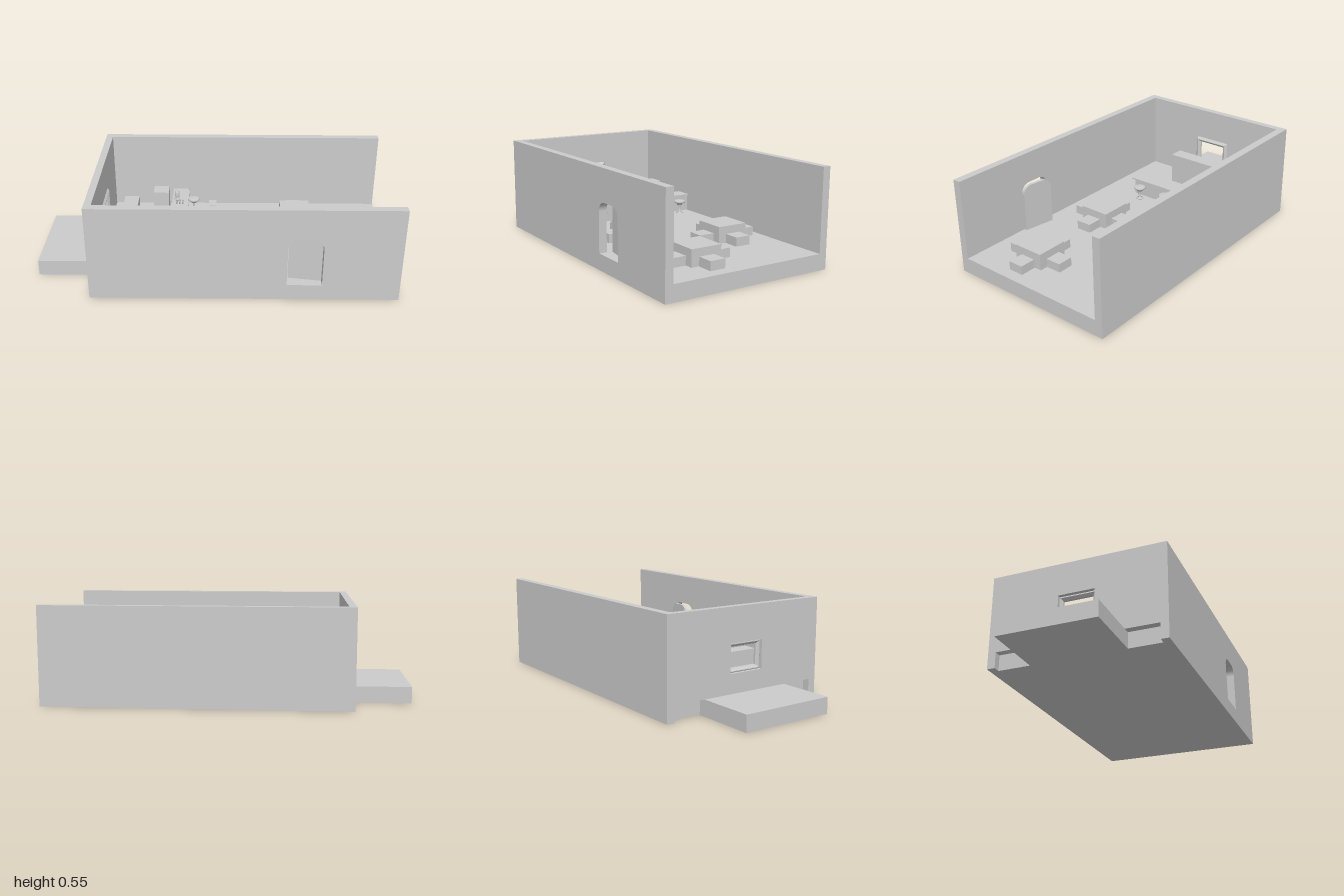
import * as THREE from 'three';

const FLOOR = 0.09, TOP = 0.545, WALL = 0.045;
const material = new THREE.MeshStandardMaterial({ color: 0xcccccc });

function add(parent, name, geometry) {
  const mesh = new THREE.Mesh(geometry, material);
  mesh.name = name;
  parent.add(mesh);
  return mesh;
}

// Box given by its limits on each axis
function box(parent, name, x0, x1, y0, y1, z0, z1) {
  const mesh = add(parent, name, new THREE.BoxGeometry(x1 - x0, y1 - y0, z1 - z0));
  mesh.position.set((x0 + x1) / 2, (y0 + y1) / 2, (z0 + z1) / 2);
  return mesh;
}

function turned(parent, name, profile, x, y, z, sides = 24) {
  const points = profile.map(([r, h]) => new THREE.Vector2(r, h));
  const mesh = add(parent, name, new THREE.LatheGeometry(points, sides));
  mesh.position.set(x, y, z);
  return mesh;
}

function rectangle(path, x0, x1, y0, y1) {
  path.moveTo(x0, y0);
  path.lineTo(x1, y0);
  path.lineTo(x1, y1);
  path.lineTo(x0, y1);
  path.closePath();
  return path;
}

// Upright doorway outline with rounded top corners
function doorway(path, x0, x1, y0, y1, r) {
  path.moveTo(x0, y0);
  path.lineTo(x1, y0);
  path.lineTo(x1, y1 - r);
  path.absarc(x1 - r, y1 - r, r, 0, Math.PI / 2);
  path.lineTo(x0 + r, y1);
  path.absarc(x0 + r, y1 - r, r, Math.PI / 2, Math.PI);
  path.closePath();
  return path;
}

const extrude = (shape, depth, bevel = {}) =>
  new THREE.ExtrudeGeometry(shape, { depth, bevelEnabled: false, curveSegments: 10, ...bevel });

function buildShell(group) {
  const shell = new THREE.Group();
  shell.name = 'shell';
  group.add(shell);
  const inner = 0.5 - WALL;
  box(shell, 'floor', -0.64, 1, 0, FLOOR, -inner, inner);
  box(shell, 'entryPlatform', -1, -0.64, 0, FLOOR, -0.27, 0.27);
  box(shell, 'backWall', -0.68, 1, 0, TOP, -0.5, -inner);

  // Front wall with doorway
  const front = rectangle(new THREE.Shape(), -0.68, 1, 0, TOP);
  front.holes.push(doorway(new THREE.Path(), 0.39, 0.58, FLOOR, 0.367, 0.055));
  add(shell, 'frontWall', extrude(front, WALL)).position.z = inner;

  // End wall with window, drawn across z and extruded towards -x
  const end = rectangle(new THREE.Shape(), -inner, inner, FLOOR, TOP);
  end.holes.push(rectangle(new THREE.Path(), -0.104, 0.104, 0.197, 0.355));
  const endWall = add(shell, 'endWall', extrude(end, 0.04).rotateY(-Math.PI / 2));
  endWall.position.x = -0.64;

  // Window trim with sloping faces
  const trim = rectangle(new THREE.Shape(), -0.102, 0.102, 0.201, 0.349);
  trim.holes.push(rectangle(new THREE.Path(), -0.098, 0.098, 0.205, 0.345));
  const trimGeometry = extrude(trim, 0.012, {
    bevelEnabled: true, bevelSize: 0.013, bevelThickness: 0.012, bevelSegments: 1,
  }).rotateY(-Math.PI / 2);
  add(shell, 'windowFrame', trimGeometry).position.x = -0.64;

  // Door leaf, hinged at its right edge and slightly open
  const leaf = doorway(new THREE.Shape(), -0.183, 0, 0, 0.272, 0.053);
  const door = add(shell, 'door', extrude(leaf, 0.018).translate(0, 0, -0.018));
  door.position.set(0.58, FLOOR, 0.455);
  door.rotation.y = -0.16;
}

// Square table with a seat on each side
function buildTable(group, x, z) {
  const set = new THREE.Group();
  set.name = 'tableSet';
  set.position.set(x, FLOOR, z);
  group.add(set);
  box(set, 'table', -0.09, 0.09, 0, 0.093, -0.09, 0.09);
  for (let i = 0; i < 4; i++) {
    const angle = i * Math.PI / 2;
    const seat = box(set, 'seat', -0.045, 0.045, 0, 0.05, -0.045, 0.045);
    seat.position.x = 0.137 * Math.cos(angle);
    seat.position.z = 0.137 * Math.sin(angle);
  }
}

function buildBar(group) {
  const bar = new THREE.Group();
  bar.name = 'bar';
  group.add(bar);
  box(bar, 'barBody', -0.26, -0.18, FLOOR, 0.184, -0.455, 0.255);
  box(bar, 'barTop', -0.27, -0.17, 0.184, 0.193, -0.455, 0.27);

  // Stools
  const stool = [
    [0, 0], [0.024, 0], [0.024, 0.003], [0.007, 0.005], [0.007, 0.048], [0.017, 0.05],
    [0.017, 0.063], [0.03, 0.063], [0.034, 0.067], [0.034, 0.073], [0.03, 0.078], [0, 0.078],
  ];
  for (const z of [-0.37, -0.185, 0, 0.188]) turned(bar, 'stool', stool, -0.14, FLOOR, z);

  // Drinks dispenser and cups
  turned(bar, 'dispenser', [
    [0, 0], [0.018, 0], [0.018, 0.003], [0.006, 0.018], [0.012, 0.021], [0.014, 0.024],
    [0.014, 0.052], [0.008, 0.058], [0.003, 0.06], [0.003, 0.066], [0, 0.067],
  ], -0.24, 0.193, -0.297);
  for (const x of [-0.24, -0.222, -0.204]) {
    for (const z of [-0.258, -0.242]) {
      turned(bar, 'cup', [[0, 0], [0.004, 0], [0.006, 0.018], [0.005, 0.018], [0.003, 0.003], [0, 0.003]],
        x, 0.193, z, 12);
    }
  }
}

function buildKitchen(group) {
  const kitchen = new THREE.Group();
  kitchen.name = 'serviceArea';
  group.add(kitchen);
  box(kitchen, 'windowCounter', -0.64, -0.545, FLOOR, 0.19, -0.182, 0.18);
  box(kitchen, 'tallCounter', -0.545, -0.46, FLOOR, 0.274, -0.182, 0.18);
  box(kitchen, 'cabinet', -0.38, -0.287, FLOOR, 0.273, -0.322, -0.232);
  turned(kitchen, 'counterJar', [[0, 0], [0.011, 0], [0.011, 0.02], [0.006, 0.026], [0, 0.026]],
    -0.615, 0.19, -0.115, 16);
  box(kitchen, 'stand', -0.042, 0.004, FLOOR, 0.228, -0.228, -0.155);
}

export function createModel() {
  const group = new THREE.Group();
  group.name = 'cafeInterior';
  buildShell(group);
  for (const [x, z] of [[0.203, 0.178], [0.484, -0.222], [0.753, 0.152]]) buildTable(group, x, z);
  buildBar(group);
  buildKitchen(group);
  return group;
}
